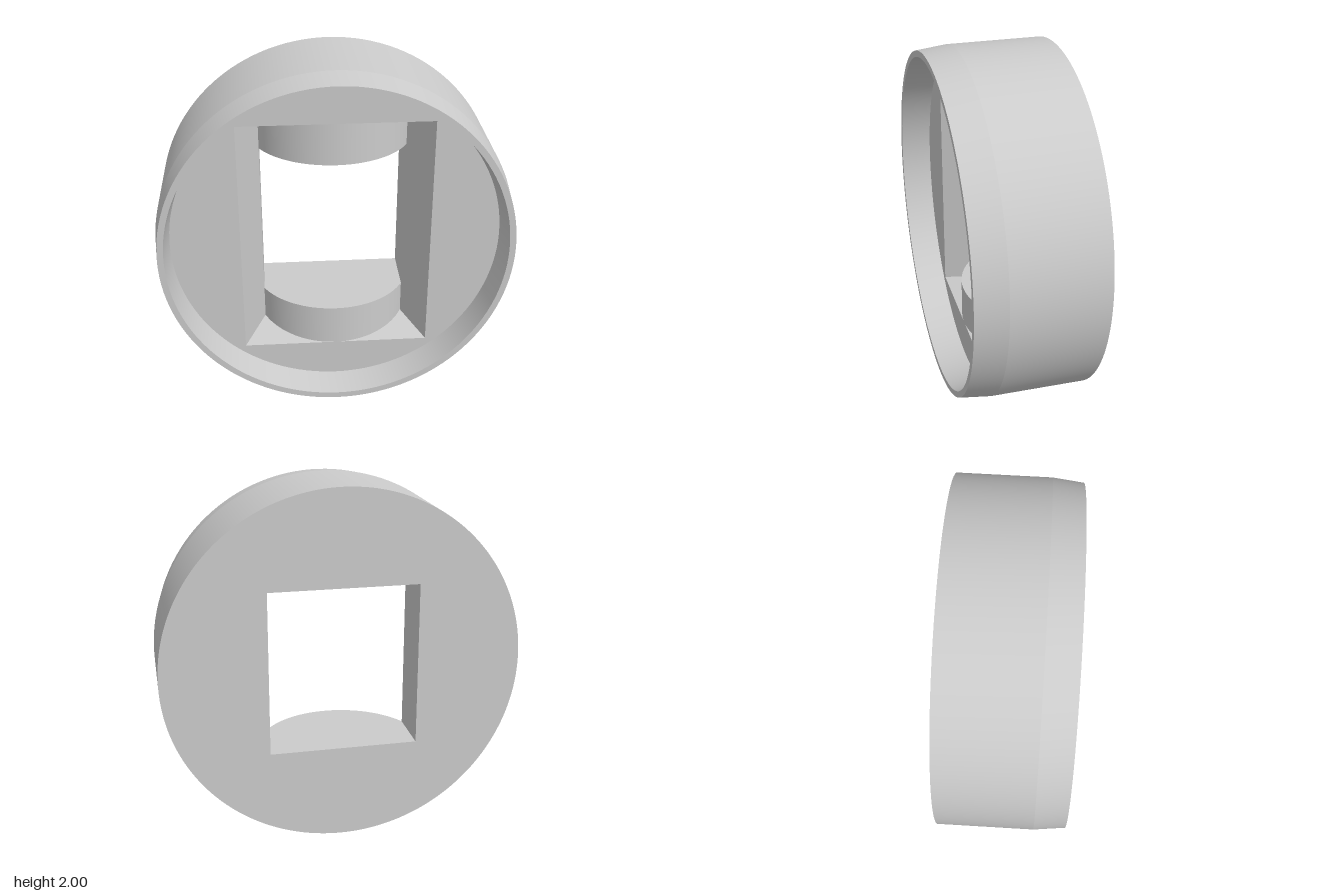
import * as THREE from 'three';
import { toCreasedNormals } from 'three/addons/utils/BufferGeometryUtils.js';

const BACK = -0.355, FRONT = 0.355, FLOOR = 0.18, STEP = -0.07; // depths along z
const OPEN_X = 0.415, OPEN_Y = 0.463;                           // half size of the rear opening
const WIN_X = 0.535, WIN_Y = 0.703, INNER_Y = 0.66;             // half size of the tapered window
const PLUG_R = 0.47;                                            // radius of the curved blocks

const material = new THREE.MeshStandardMaterial({ color: 0xcccccc });

function mesh(name, geometry) {
  const m = new THREE.Mesh(geometry, material);
  m.name = name;
  return m;
}

// Flat four-cornered panel, corners counter-clockwise from its visible side
function quad(a, b, c, d) {
  const g = new THREE.BufferGeometry();
  g.setAttribute('position', new THREE.Float32BufferAttribute([...a, ...b, ...c, ...d], 3));
  g.setIndex([0, 1, 2, 0, 2, 3]);
  g.computeVertexNormals();
  return g;
}

// Disc with a centred rectangular hole
function plate(radius, hx, hy) {
  const shape = new THREE.Shape().absarc(0, 0, radius, 0, Math.PI * 2);
  shape.holes.push(new THREE.Path([
    new THREE.Vector2(-hx, -hy), new THREE.Vector2(-hx, hy),
    new THREE.Vector2(hx, hy), new THREE.Vector2(hx, -hy),
  ]));
  return new THREE.ShapeGeometry(shape, 128);
}

// One side of the opening with one curved block; turned by 180 degrees for the other
function createOpeningHalf() {
  const half = new THREE.Group();
  half.add(mesh('taperedSideWall', quad(
    [OPEN_X, -INNER_Y, STEP], [WIN_X, -WIN_Y, FLOOR], [WIN_X, WIN_Y, FLOOR], [OPEN_X, INNER_Y, STEP])));
  half.add(mesh('straightSideWall', quad(
    [OPEN_X, -OPEN_Y, BACK], [OPEN_X, -OPEN_Y, STEP], [OPEN_X, OPEN_Y, STEP], [OPEN_X, OPEN_Y, BACK])));
  half.add(mesh('taperedEndWall', quad(
    [-WIN_X, -WIN_Y, FLOOR], [WIN_X, -WIN_Y, FLOOR], [OPEN_X, -INNER_Y, STEP], [-OPEN_X, -INNER_Y, STEP])));

  // Curved front of the block
  const angle = Math.asin(OPEN_X / PLUG_R);
  const centreZ = FLOOR - PLUG_R;
  const height = WIN_Y - OPEN_Y;
  const curve = new THREE.CylinderGeometry(PLUG_R, PLUG_R, height, 48, 1, true, -angle, 2 * angle);
  curve.translate(0, -OPEN_Y - height / 2, centreZ);
  half.add(mesh('curvedBlockFront', curve));

  // Flat ledge of the block, bounding the rear opening
  const ledge = new THREE.Shape();
  ledge.moveTo(OPEN_X, -BACK);
  ledge.lineTo(-OPEN_X, -BACK);
  ledge.absarc(0, -centreZ, PLUG_R, -Math.PI / 2 - angle, -Math.PI / 2 + angle);
  const ledgeGeometry = new THREE.ShapeGeometry(ledge, 48);
  ledgeGeometry.rotateX(-Math.PI / 2).translate(0, -OPEN_Y, 0);
  half.add(mesh('curvedBlockLedge', ledgeGeometry));
  return half;
}

export function createModel() {
  const model = new THREE.Group();
  model.name = 'roundHousing';
  const body = new THREE.Group();
  body.name = 'body';
  body.position.y = 1;
  model.add(body);

  // Outer wall, chamfer, rim and inner recess wall
  const profile = [[1, BACK], [1, FLOOR], [0.98, FRONT], [0.945, FRONT], [0.925, FLOOR]]
    .map(([r, z]) => new THREE.Vector2(r, z));
  const shell = new THREE.LatheGeometry(profile, 128).rotateX(Math.PI / 2);
  body.add(mesh('outerShell', toCreasedNormals(shell, 0.1)));

  // Recessed front plate and back plate
  body.add(mesh('frontPlate', plate(0.925, WIN_X, WIN_Y).translate(0, 0, FLOOR)));
  body.add(mesh('backPlate', plate(1, OPEN_X, OPEN_Y).rotateY(Math.PI).translate(0, 0, BACK)));

  // Window with a curved block at the bottom and at the top
  ['lowerOpening', 'upperOpening'].forEach((name, i) => {
    const half = createOpeningHalf();
    half.name = name;
    half.rotation.z = i * Math.PI;
    body.add(half);
  });
  return model;
}
